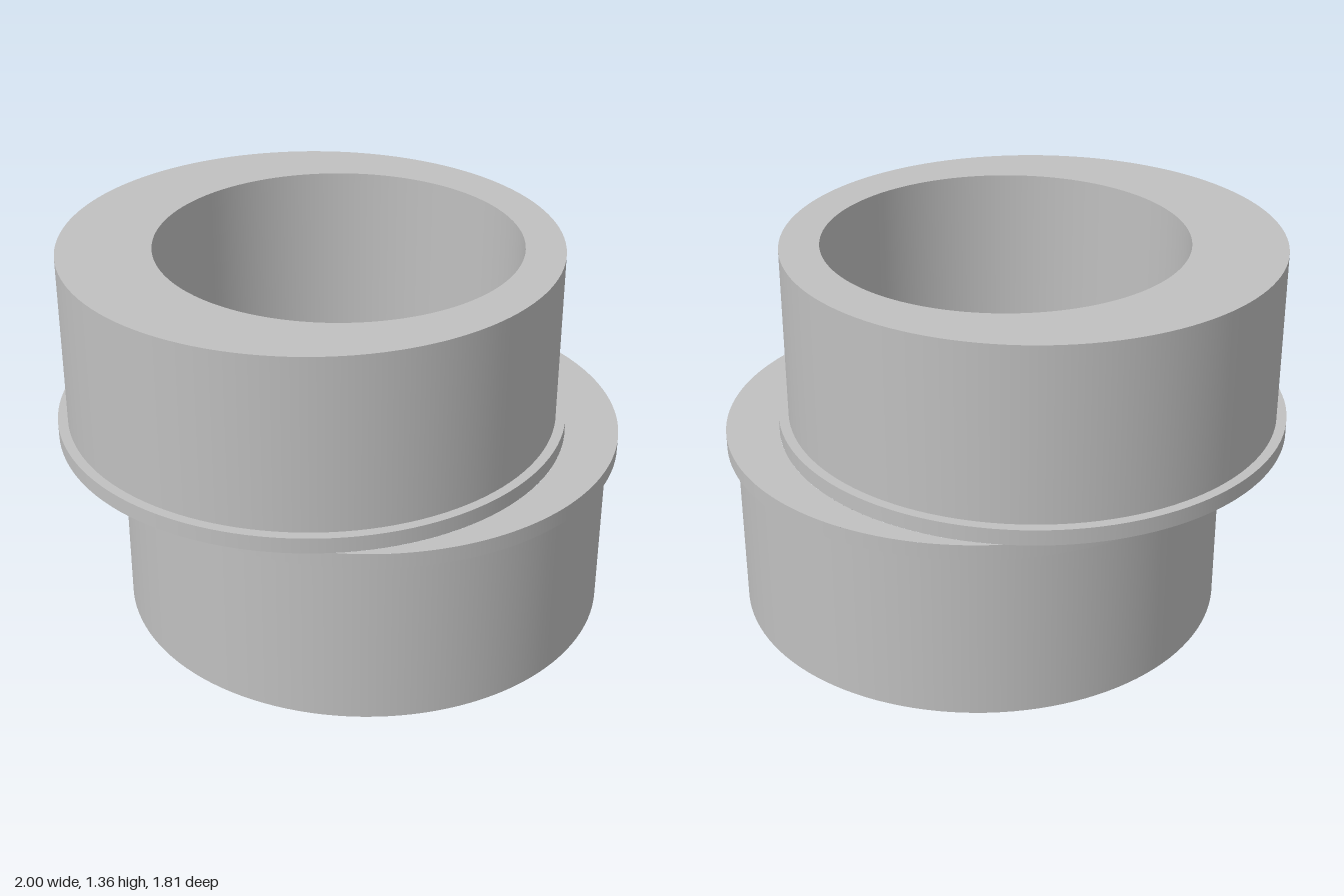
import * as THREE from 'three';

const HEIGHT = 1.355, MID = HEIGHT / 2;
const OFFSET = 0.095;               // each half is eccentric to the bore
const BODY_R = 0.87, FLANGE_R = 0.905, BORE_R = 0.637;
const FLANGE_Y = 0.622;
const SEGMENTS = 128;

export function createModel() {
  const grey = new THREE.MeshStandardMaterial({ color: 0xc0c0c0 });
  grey.name = 'grey metal';

  const add = (parent, name, geometry, x = 0, y = 0) => {
    const mesh = new THREE.Mesh(geometry, grey);
    mesh.name = name;
    mesh.position.set(x, y, 0);
    parent.add(mesh);
  };

  // Revolved band between two profile points, giving sharp edges between bands
  const band = (r0, y0, r1, y1) => new THREE.LatheGeometry(
    [new THREE.Vector2(r0, y0), new THREE.Vector2(r1, y1)], SEGMENTS);

  // Lower half; the upper one is the same part turned over
  const makeHalf = (name) => {
    const half = new THREE.Group();
    half.name = name;
    add(half, 'bodyWall', band(BODY_R, 0, BODY_R, FLANGE_Y), OFFSET);
    add(half, 'flangeShoulder', band(BODY_R, FLANGE_Y, FLANGE_R, FLANGE_Y), OFFSET);
    add(half, 'flangeRim', band(FLANGE_R, FLANGE_Y, FLANGE_R, MID), OFFSET);

    // End face with the off-centre bore opening
    const end = new THREE.Shape().absarc(OFFSET, 0, BODY_R, 0, Math.PI * 2, false);
    end.holes.push(new THREE.Path().absarc(0, 0, BORE_R, 0, Math.PI * 2, true));
    add(half, 'endFace', new THREE.ShapeGeometry(end, SEGMENTS / 2).rotateX(Math.PI / 2));

    // Crescent of the flange left exposed by the other half
    const tip = Math.sqrt(FLANGE_R ** 2 - OFFSET ** 2);
    const outer = Math.atan2(tip, -OFFSET), inner = Math.atan2(tip, OFFSET);
    const crescent = new THREE.Shape();
    crescent.absarc(OFFSET, 0, FLANGE_R, -outer, outer, false);
    crescent.absarc(-OFFSET, 0, FLANGE_R, inner, -inner, true);
    add(half, 'flangeStep', new THREE.ShapeGeometry(crescent, SEGMENTS / 2).rotateX(-Math.PI / 2), 0, MID);
    return half;
  };

  const model = new THREE.Group();
  model.name = 'eccentricBushing';
  const lower = makeHalf('lowerHalf');
  const upper = makeHalf('upperHalf');
  upper.rotation.z = Math.PI;
  upper.position.y = HEIGHT;
  model.add(lower, upper);

  // Straight bore, profile drawn downward so it faces inward
  add(model, 'bore', band(BORE_R, HEIGHT, BORE_R, 0));
  return model;
}
